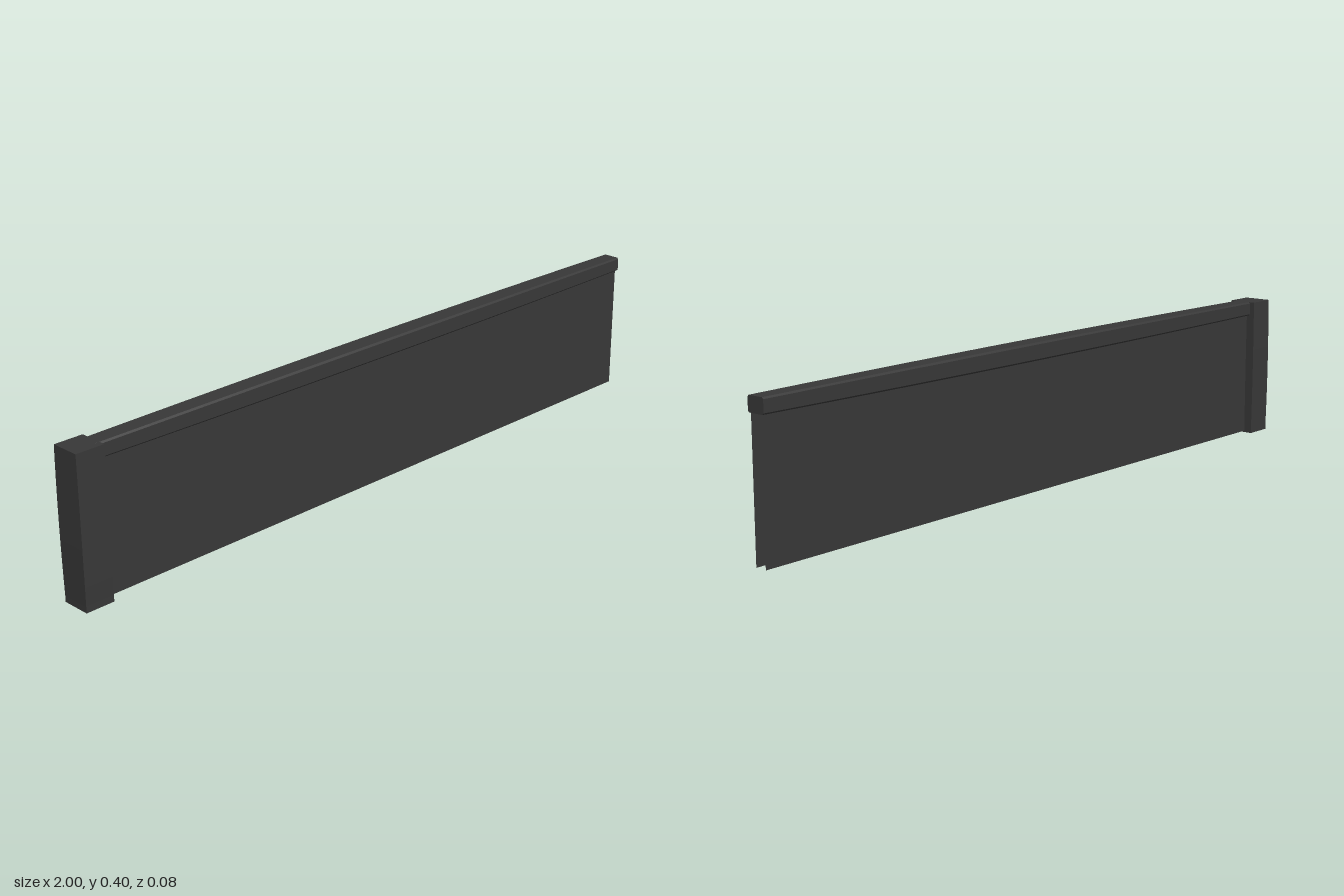
import * as THREE from 'three';

const material = new THREE.MeshStandardMaterial({ color: 0x383838, flatShading: true });
const sheetMaterial = new THREE.MeshStandardMaterial({ color: 0x383838, side: THREE.DoubleSide });

// Move every vertex of a geometry by a rule
function reshape(geometry, rule) {
  const p = geometry.attributes.position;
  const v = new THREE.Vector3();
  for (let i = 0; i < p.count; i++) {
    rule(v.fromBufferAttribute(p, i));
    p.setXYZ(i, v.x, v.y, v.z);
  }
  geometry.computeVertexNormals();
  return geometry;
}

function addMesh(parent, name, geometry, mat, x, y, z) {
  const mesh = new THREE.Mesh(geometry, mat);
  mesh.name = name;
  mesh.position.set(x, y, z);
  parent.add(mesh);
  return mesh;
}

export function createModel() {
  const model = new THREE.Group();
  model.name = 'wallPanel';

  // End post, swelling very slightly at mid height
  const foot = 0.017, shaft = 0.4 - foot;
  const post = reshape(new THREE.BoxGeometry(0.08, shaft, 0.08, 1, 8, 1), (v) => {
    const swell = 1 + 0.05 * (1 - (2 * v.y / shaft) ** 2);
    v.z *= swell;
    v.x *= 1 + (swell - 1) * 0.5;
  });
  addMesh(model, 'post', post, material, -0.958, foot + shaft / 2, 0);
  addMesh(model, 'postFoot', new THREE.BoxGeometry(0.08, foot, 0.08), material, -0.958, foot / 2, 0);

  // Top rail: chamfered bar, thicker towards the middle
  const w = 0.026, h = 0.02, c = 0.004, length = 1.94;
  const section = new THREE.Shape([
    [-w + c, -h], [w - c, -h], [w, -h + c], [w, h - c],
    [w - c, h], [-w + c, h], [-w, h - c], [-w, -h + c],
  ].map(([x, y]) => new THREE.Vector2(x, y)));
  const rail = new THREE.ExtrudeGeometry(section, { depth: length, steps: 12, bevelEnabled: false });
  rail.translate(0, 0, -length / 2).rotateY(Math.PI / 2);
  reshape(rail, (v) => {
    const swell = 1 - (2 * v.x / length) ** 2;
    v.y *= 1 + 0.2 * swell;
    v.z *= 1 + 0.18 * swell;
  });
  addMesh(model, 'topRail', rail, material, 0.03, 0.38, 0);

  // Two parallel sheets, open at the end and bottom
  for (const side of [1, -1]) {
    const sheet = addMesh(model, side > 0 ? 'frontSheet' : 'backSheet',
      new THREE.PlaneGeometry(1.93, 0.365), sheetMaterial, 0.035, 0.1865, side * 0.016);
    if (side < 0) sheet.rotation.y = Math.PI;
  }

  return model;
}
